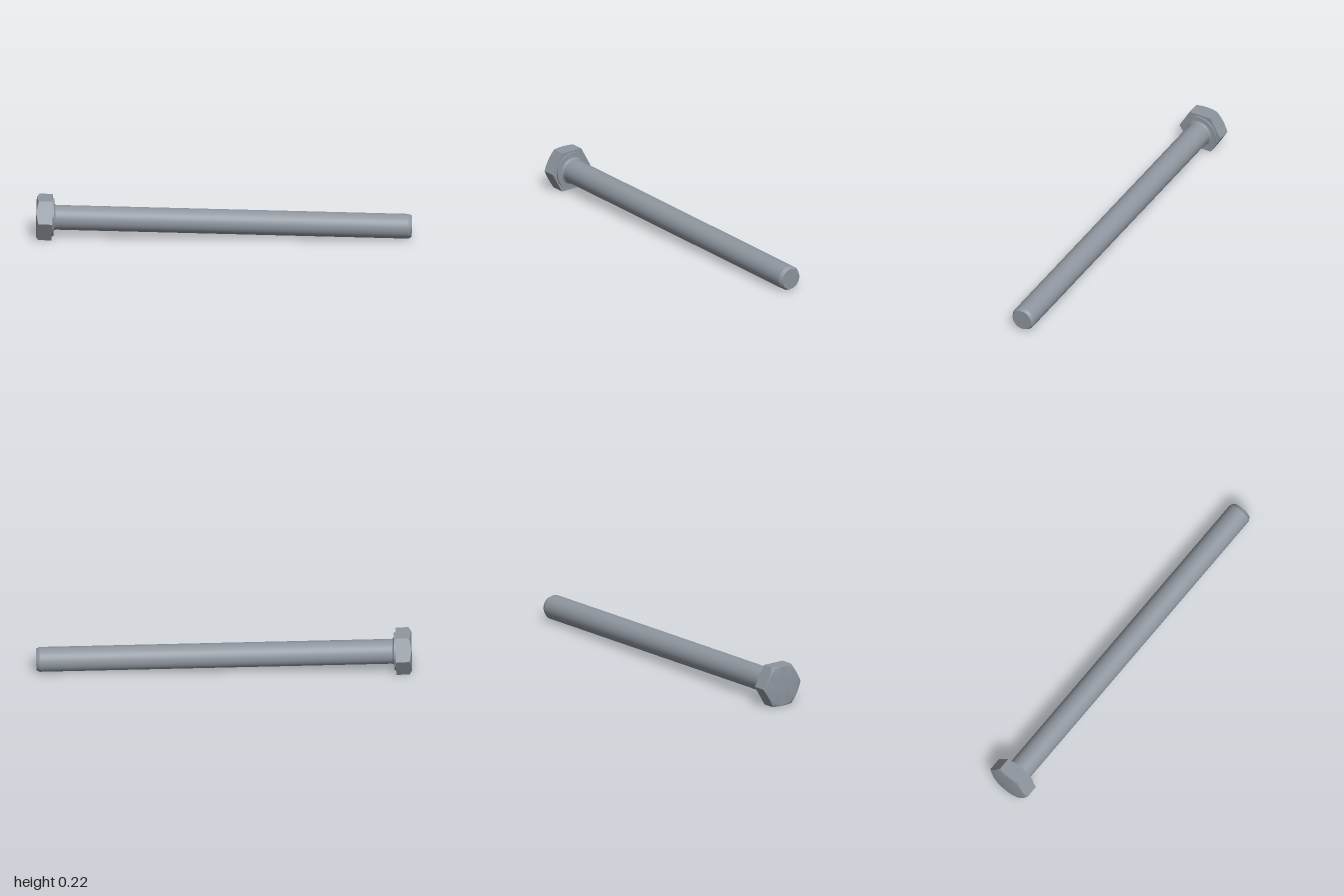
import * as THREE from 'three';

const APOTHEM = 0.11, HEAD_H = 0.085, RIM = 0.104, SHAFT_R = 0.0665;
const SEG = 72;

export function createModel() {
  const steel = new THREE.MeshStandardMaterial({ color: 0x8f969f });
  steel.name = 'steel grey';
  const bolt = new THREE.Group();
  bolt.name = 'hexBolt';

  const add = (name, geometry) => {
    const mesh = new THREE.Mesh(geometry, steel);
    mesh.name = name;
    bolt.add(mesh);
  };
  const lathe = (name, pts) =>
    add(name, new THREE.LatheGeometry(pts.map(p => new THREE.Vector2(p[0], p[1])), 48));

  // Distance from the axis to the hexagon, with corners on local z
  const hexRadius = a => {
    const step = Math.PI / 3;
    return APOTHEM / Math.cos((a % step) - step / 2);
  };
  // Joins rows of [radius, y], each given as a function of the angle
  const skin = rows => {
    const pos = [], index = [];
    for (const row of rows) {
      for (let i = 0; i < SEG; i++) {
        const a = i / SEG * Math.PI * 2, [r, y] = row(a);
        pos.push(Math.sin(a) * r, y, Math.cos(a) * r);
      }
    }
    for (let j = 0; j < rows.length - 1; j++) {
      for (let i = 0; i < SEG; i++) {
        const n = (i + 1) % SEG;
        const a = j * SEG + i, b = j * SEG + n, c = a + SEG, d = b + SEG;
        index.push(a, b, c, b, d, c);
      }
    }
    const g = new THREE.BufferGeometry();
    g.setAttribute('position', new THREE.Float32BufferAttribute(pos, 3));
    g.setIndex(index);
    g.computeVertexNormals();
    return g;
  };

  // Head: chamfered crown, six flat sides and underside
  const edge = a => {
    const r = hexRadius(a);
    return [r, -HEAD_H + (r - RIM) * Math.tan(Math.PI / 6)];
  };
  add('headCrown', skin([() => [0.0005, -HEAD_H], () => [RIM, -HEAD_H], edge]));
  const sides = skin([edge, a => [hexRadius(a), 0]]).toNonIndexed();
  sides.computeVertexNormals();
  add('headSides', sides);
  const under = new THREE.CircleGeometry(APOTHEM / Math.cos(Math.PI / 6), 6, Math.PI / 2);
  add('headUnderside', under.rotateX(-Math.PI / 2));

  // Washer face with a small fillet into the shaft
  lathe('washerEdge', [[0.1, 0], [0.1, 0.009]]);
  lathe('washerFace', [[0.1, 0.009], [0.078, 0.009], [0.07, 0.012], [SHAFT_R, 0.02]]);

  // Shaft, aligned from the head underside to the tip
  const base = new THREE.Vector3(-0.897, 0.112, -0.163);
  const tip = new THREE.Vector3(0.987, 0.07, 0.237);
  const length = base.distanceTo(tip);
  lathe('shaft', [[SHAFT_R, 0.012], [SHAFT_R, length - 0.018]]);
  lathe('tipChamfer', [[SHAFT_R, length - 0.018], [0.057, length]]);
  lathe('tipFace', [[0.057, length], [0, length]]);

  // Tilt the bolt, keeping two head flats level
  const axis = tip.clone().sub(base).normalize();
  const side = new THREE.Vector3(0, 1, 0).cross(axis).normalize();
  const up = axis.clone().cross(side);
  bolt.quaternion.setFromRotationMatrix(new THREE.Matrix4().makeBasis(up, axis, side));
  bolt.position.copy(base);

  const model = new THREE.Group();
  model.name = 'model';
  model.add(bolt);
  return model;
}
